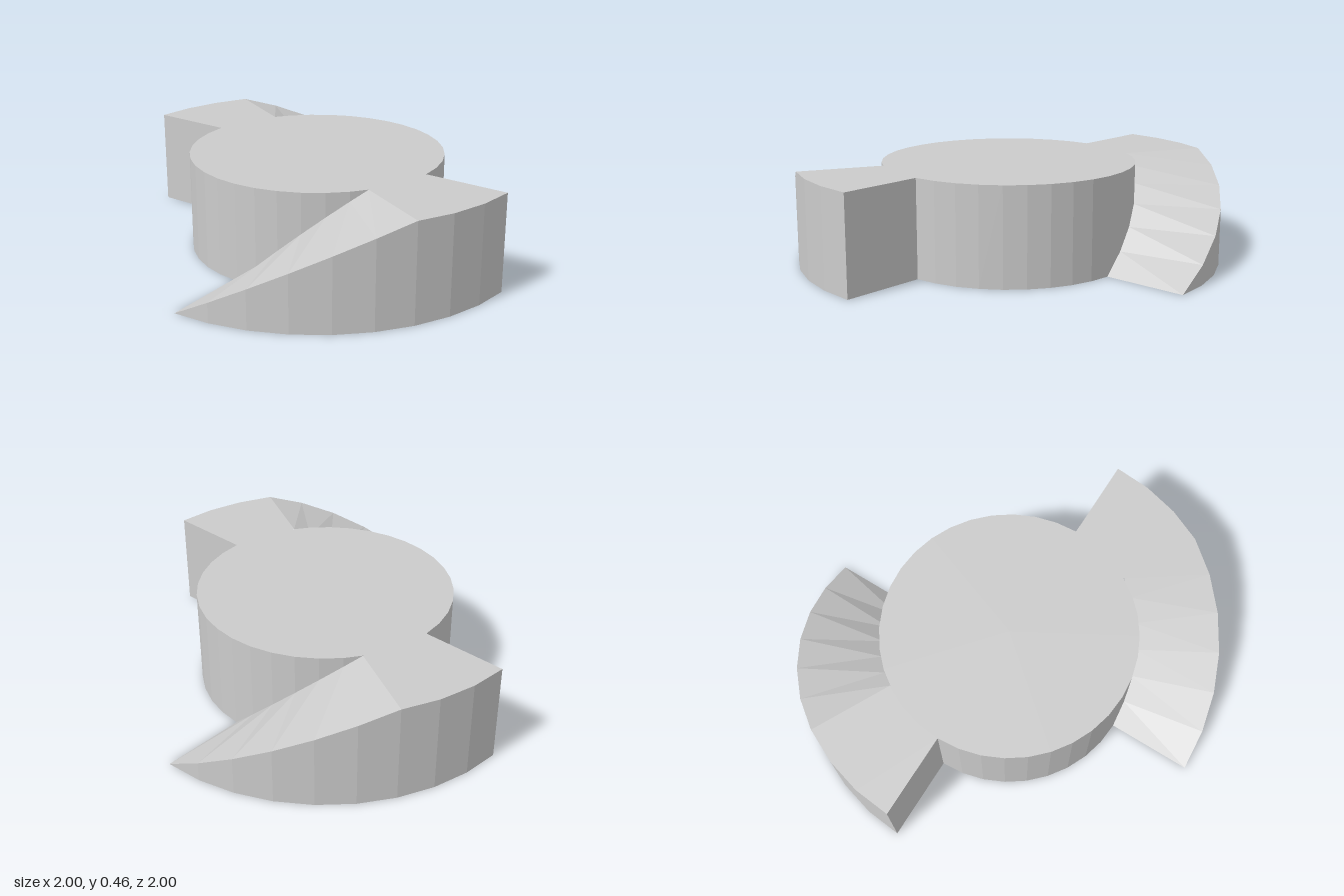
import * as THREE from 'three';

const HEIGHT = 0.46, HUB_R = 0.6, WING_R = 1, STEPS = 9;
const RAMP_END_OUTER = THREE.MathUtils.degToRad(60);
const RAMP_END_INNER = THREE.MathUtils.degToRad(58);

// Quarter-ring wing: a ramp climbing to a flat landing, swept from +x to -z
function wingGeometry() {
  const positions = [];
  const quad = (a, b, c, d) => {
    for (const p of [a, b, c, a, c, d]) positions.push(p.x, p.y, p.z);
  };
  const point = (r, t, y) => new THREE.Vector3(r * Math.cos(t), y, -r * Math.sin(t));
  const rise = (t, end) => (t >= end ? HEIGHT : HEIGHT * Math.sin(t) / Math.sin(end));

  const sections = [];
  for (let i = 0; i <= STEPS; i++) {
    const outer = (i / STEPS) * Math.PI / 2;
    const inner = i === 6 ? RAMP_END_INNER : outer;
    sections.push({
      innerLow: point(HUB_R, inner, 0),
      outerLow: point(WING_R, outer, 0),
      innerTop: point(HUB_R, inner, rise(inner, RAMP_END_INNER)),
      outerTop: point(WING_R, outer, rise(outer, RAMP_END_OUTER - 1e-6)),
    });
  }
  for (let i = 0; i < STEPS; i++) {
    const a = sections[i], b = sections[i + 1];
    quad(a.outerLow, b.outerLow, b.outerTop, a.outerTop); // rim
    quad(a.outerTop, b.outerTop, b.innerTop, a.innerTop); // ramp and landing
    quad(a.innerLow, b.innerLow, b.outerLow, a.outerLow); // underside
  }
  // Upright wall at the high end
  const e = sections[STEPS];
  quad(e.outerLow, e.innerLow, e.innerTop, e.outerTop);

  const geometry = new THREE.BufferGeometry();
  geometry.setAttribute('position', new THREE.Float32BufferAttribute(positions, 3));
  geometry.computeVertexNormals();
  return geometry;
}

export function createModel() {
  const model = new THREE.Group();
  model.name = 'rampedCam';
  const material = new THREE.MeshStandardMaterial({ color: 0xcccccc, flatShading: true });

  // Central disc
  const hub = new THREE.Mesh(new THREE.CylinderGeometry(HUB_R, HUB_R, HEIGHT, 36), material);
  hub.name = 'hub';
  hub.position.y = HEIGHT / 2;
  model.add(hub);

  // Two opposite wings
  const geometry = wingGeometry();
  ['backWing', 'frontWing'].forEach((name, i) => {
    const wing = new THREE.Mesh(geometry, material);
    wing.name = name;
    wing.rotation.y = i * Math.PI;
    model.add(wing);
  });
  return model;
}
